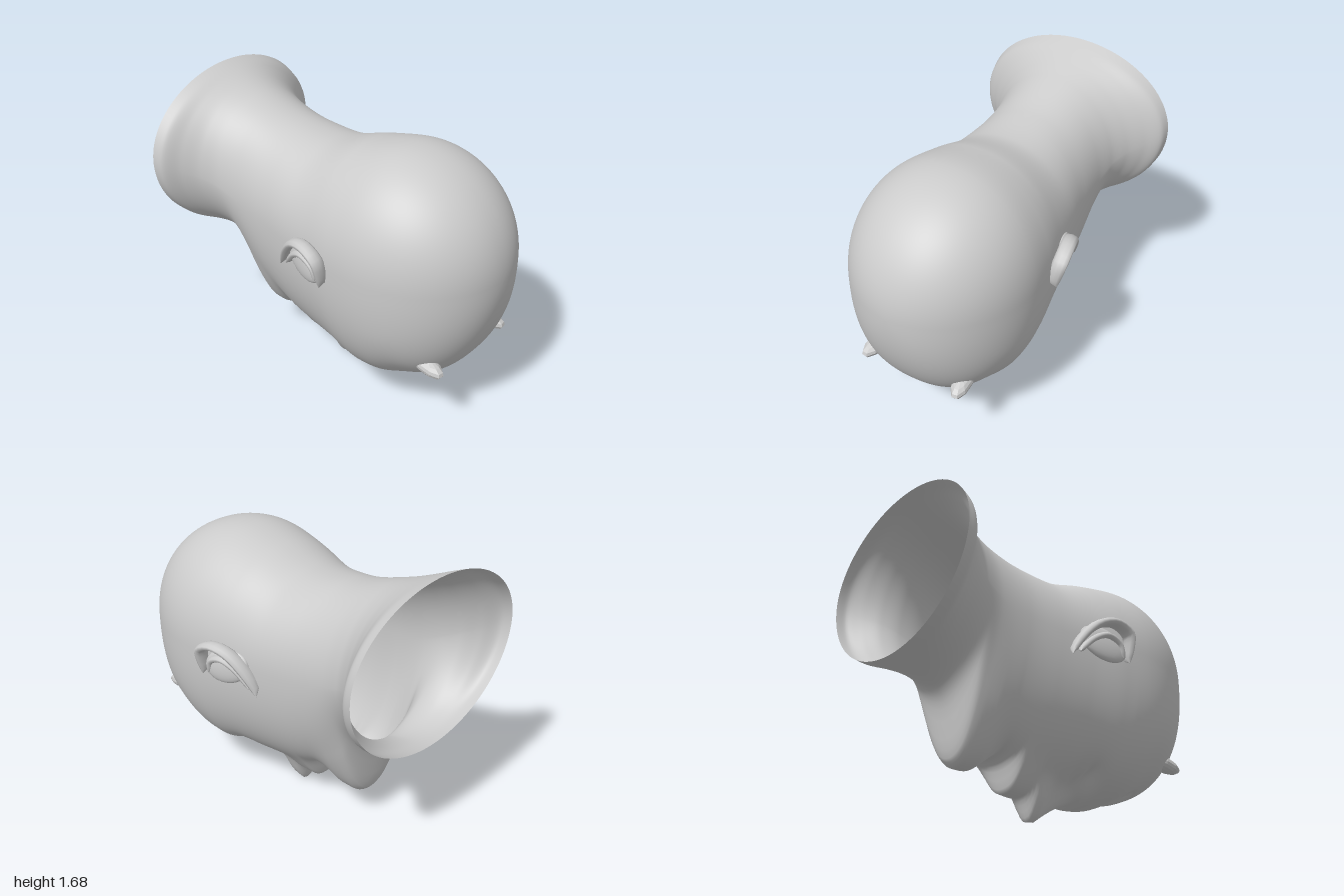
import * as THREE from 'three';

const material = new THREE.MeshStandardMaterial({ color: 0xcccccc, side: THREE.DoubleSide });

// Outlines behind the widest part of the skull, as [z, value]
const TOP = [[0.4, 1.545], [0.12, 1.497], [-0.15, 1.43], [-0.4, 1.457], [-0.7, 1.55], [-1, 1.675]];
const WIDTH = [[0.4, 0.53], [0.22, 0.515], [0, 0.47], [-0.2, 0.43], [-0.4, 0.397], [-0.58, 0.386],
  [-0.7, 0.402], [-0.8, 0.45], [-0.88, 0.525], [-0.95, 0.608], [-1, 0.618]];
const WIDEST = [[0.4, 0.95], [0, 0.94], [-0.3, 0.96], [-0.6, 1.04], [-0.8, 1.13], [-1, 1.22]];
// Underside of cheeks, jaw and neck, and the profile of the face on the centre line
const CHEEKS = [[0.4, 0.17], [0.3, 0.17], [0.1, 0.205], [-0.2, 0.23], [-0.4, 0.28], [-0.52, 0.36],
  [-0.62, 0.485], [-0.7, 0.59], [-0.82, 0.66], [-1, 0.7]];
const PROFILE = [[0.4, 0.17], [0.32, 0.158], [0.22, 0.18], [0.1, 0.195], [-0.1, 0.17], [-0.145, 0.12],
  [-0.24, 0.125], [-0.28, 0.27], [-0.34, 0.3], [-0.41, 0.25], [-0.49, 0.193], [-0.56, 0.188],
  [-0.605, 0.22], [-0.63, 0.33], [-0.645, 0.47], [-0.67, 0.56], [-0.71, 0.615], [-0.82, 0.66], [-1, 0.7]];

// Smooth curve through the keys without overshoot
function sample(keys, z) {
  const last = keys.length - 2;
  let k = 0;
  while (k < last && z < keys[k + 1][0]) k++;
  const slope = (i) => (keys[i + 1][1] - keys[i][1]) / (keys[i + 1][0] - keys[i][0]);
  const tangent = (i) => {
    if (i === 0) return 0;
    if (i > last) return slope(last);
    const a = slope(i - 1), b = slope(i);
    return a * b > 0 ? (2 * a * b) / (a + b) : 0;
  };
  const h = keys[k + 1][0] - keys[k][0], t = (z - keys[k][0]) / h, u = 1 - t;
  return keys[k][1] * (1 + 2 * t) * u * u + keys[k + 1][1] * t * t * (3 - 2 * t)
    + h * t * u * (tangent(k) * u - tangent(k + 1) * t);
}

const bump = (v, centre, size, power = 2) => Math.exp(-(Math.abs((v - centre) / size) ** power));
const ramp = (v, a, b) => THREE.MathUtils.clamp((v - a) / (b - a), 0, 1);

// Vertical offset that shapes the downward-facing face
function faceRelief(x, z) {
  const ax = Math.abs(x), back = Math.min(z, 0.4);
  // brow, lips, mouth and chin, broader towards the chin
  let dy = (sample(PROFILE, back) - sample(CHEEKS, back)) * bump(x, 0, 0.16 + 0.08 * ramp(z, -0.3, -0.5), 3);
  // nose: long ramp, rounded tip, steep underside, nostril wings
  const ridge = ramp(z, 0.26, -0.03) * THREE.MathUtils.smoothstep(z, -0.14, -0.075);
  dy -= 0.18 * ridge * bump(x, 0, 0.06 + 0.035 * ramp(z, 0.2, -0.03), 2.6);
  dy -= 0.03 * bump(ax, 0.1, 0.03) * bump(z, -0.05, 0.045);
  // eye sockets and eyelids
  dy += 0.065 * bump(ax, 0.2, 0.1) * bump(z, 0.17, 0.075);
  dy -= 0.03 * bump(ax, 0.21, 0.07) * bump(z, 0.14, 0.035);
  // flattened forehead with an oval recess
  dy += 0.03 * bump(z, 0.57, 0.13);
  const d = (x / 0.2) ** 2 + ((z - 0.55) / 0.1) ** 2;
  if (d < 1) dy += 0.04 * (1 - d ** 3);
  return dy;
}

// Builds a surface through closed rings; point(t, angle) returns [x, y, z]
function loft(rows, cols, point) {
  const pos = [], index = [];
  for (let i = 0; i <= rows; i++) {
    for (let j = 0; j < cols; j++) {
      pos.push(...point(i / rows, (j / cols) * Math.PI * 2));
      if (i === rows) continue;
      const a = i * cols + j, c = i * cols + ((j + 1) % cols);
      index.push(a, a + cols, c, a + cols, c + cols, c);
    }
  }
  const geometry = new THREE.BufferGeometry();
  geometry.setAttribute('position', new THREE.Float32BufferAttribute(pos, 3));
  geometry.setIndex(index);
  geometry.computeVertexNormals();
  return geometry;
}

function headGeometry() {
  const power = (v, e) => Math.sign(v) * Math.abs(v) ** e;
  return loft(200, 128, (t, angle) => {
    // the crown is a dome in front of z = 0.4; its rows bunch up at the pole
    const a = (Math.min(t / 0.3, 1) * Math.PI) / 2;
    const z = t < 0.3 ? 0.4 + 0.6 * Math.cos(a) : 0.4 - (1.4 * (t - 0.3)) / 0.7;
    const dome = Math.sin(a), back = Math.min(z, 0.4);
    const mid = sample(WIDEST, back);
    const c = Math.cos(angle), s = Math.sin(angle);
    // full forehead, tapered jaw and throat, round rim
    const upper = 2.12 - 0.12 * ramp(z, -0.3, -0.8);
    const lower = 2.4 - 0.4 * ramp(z, 0.3, -0.4) - 0.3 * bump(z, -0.7, 0.2);
    const n = s > 0 ? upper : lower;
    const height = s > 0 ? sample(TOP, back) - mid : mid - sample(CHEEKS, back);
    const x = dome * sample(WIDTH, back) * power(c, 2 / n);
    let y = mid + dome * height * power(s, 2 / n);
    if (s < 0) y += faceRelief(x, z) * ramp(-s, 0.35, 0.75);
    return [x, y, z];
  });
}

// Curved fold of the ear, deep in x so that it meets the head
function earFold(points, thickness, depth) {
  const curve = new THREE.CatmullRomCurve3(points.map((p) => new THREE.Vector3(...p)));
  return loft(18, 10, (t, angle) => {
    const p = curve.getPoint(t), d = curve.getTangent(t);
    const length = Math.hypot(d.y, d.z);
    const taper = Math.sqrt(Math.max(0, 1 - (2 * t - 1) ** 6));
    const a = Math.cos(angle) * thickness * taper;
    const b = (Math.sin(angle) - 0.9) * depth * taper;
    return [p.x + b, p.y + (a * -d.z) / length, p.z + (a * d.y) / length];
  });
}

export function createModel() {
  const model = new THREE.Group();
  model.name = 'head';
  const add = (parent, name, geometry, mat = material) => {
    const mesh = new THREE.Mesh(geometry, mat);
    mesh.name = name;
    parent.add(mesh);
    return mesh;
  };

  add(model, 'headAndNeck', headGeometry());

  const helix = earFold([[0.545, 0.84, 0.2], [0.575, 0.93, 0.205], [0.595, 1.01, 0.19], [0.585, 1.055, 0.1],
    [0.555, 1.03, 0.0], [0.515, 0.94, -0.09], [0.465, 0.81, -0.16]], 0.024, 0.045);
  const innerFold = earFold([[0.54, 0.86, 0.16], [0.55, 0.94, 0.14], [0.54, 0.975, 0.06],
    [0.515, 0.94, -0.02], [0.475, 0.84, -0.11]], 0.02, 0.035);
  const bowl = new THREE.SphereGeometry(1, 20, 14);
  const hornGeometry = new THREE.SphereGeometry(1, 10, 8);
  const hornMaterial = material.clone();
  hornMaterial.flatShading = true;

  for (const side of [1, -1]) {
    const half = new THREE.Group();
    half.name = side > 0 ? 'leftSide' : 'rightSide';
    half.scale.x = side;
    model.add(half);

    // ear
    add(half, 'earHelix', helix);
    add(half, 'earInnerFold', innerFold);
    const shell = add(half, 'earBowl', bowl);
    shell.position.set(0.49, 0.93, 0.05);
    shell.scale.set(0.03, 0.1, 0.15);
    shell.rotation.set(0.35, 0.25, 0);

    // small horn on the forehead
    const horn = add(half, 'horn', hornGeometry, hornMaterial);
    horn.position.set(0.285, 0.45, 0.73);
    horn.scale.set(0.055, 0.045, 0.13);
    horn.rotation.set(0.2, 0.15, 0);
  }
  return model;
}
